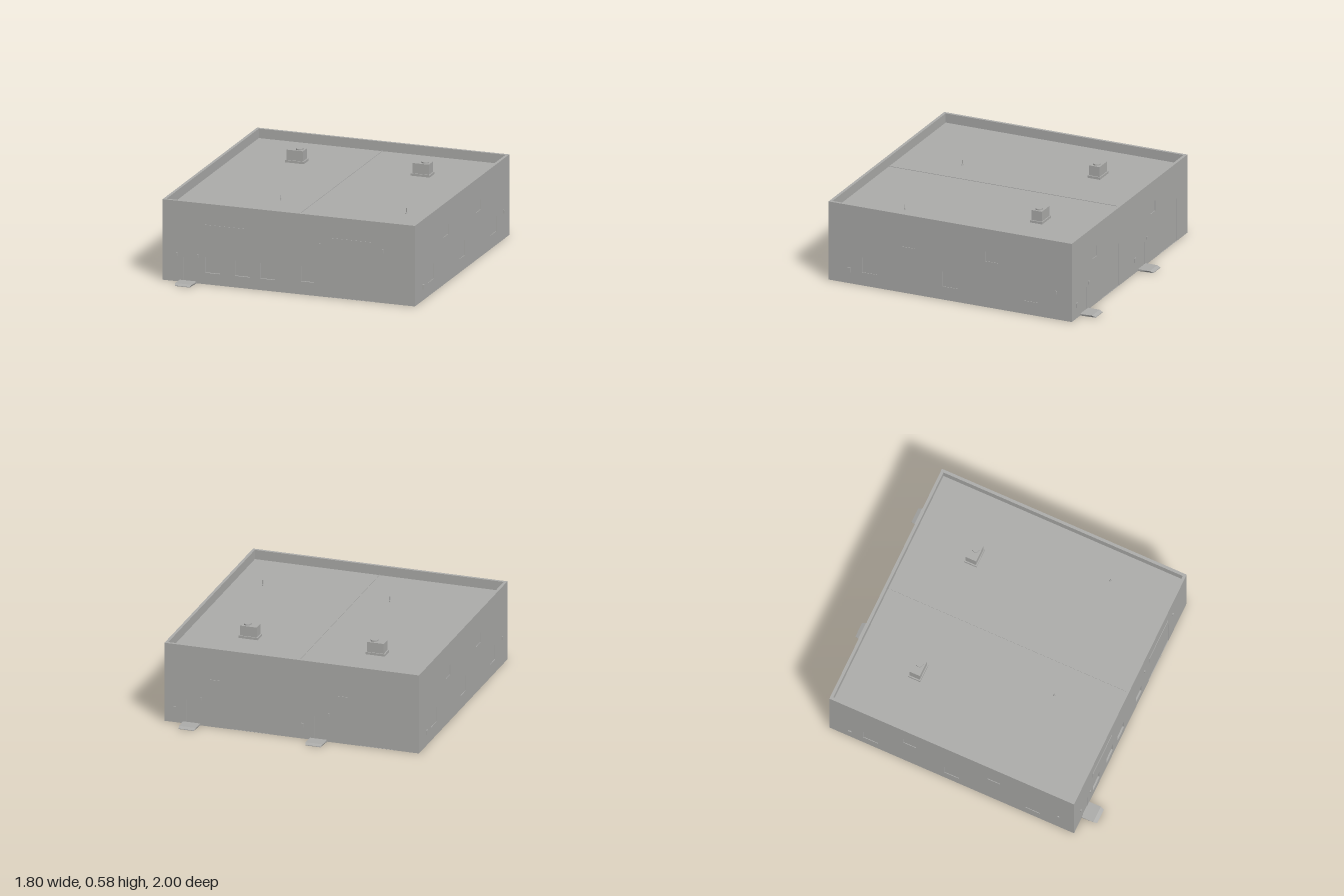
import * as THREE from 'three';

const HALF = 0.89, HEIGHT = 0.555, ROOF = 0.49, WALL = 0.012;
const grey = new THREE.MeshStandardMaterial({ color: 0xacacaa, side: THREE.DoubleSide });
grey.name = 'concrete grey';

function add(parent, name, geometry, x = 0, y = 0, z = 0) {
  const mesh = new THREE.Mesh(geometry, grey);
  mesh.name = name;
  mesh.position.set(x, y, z);
  parent.add(mesh);
  return mesh;
}

// Box given by its centre and size
const box = (parent, name, [x, y, z], [w, h, d]) =>
  add(parent, name, new THREE.BoxGeometry(w, h, d), x, y, z);

function rectPath(Type, x0, y0, x1, y1) {
  return new Type([[x0, y0], [x1, y0], [x1, y1], [x0, y1]].map(p => new THREE.Vector2(...p)));
}

// One outer wall with recessed openings [name, u0, y0, u1, y1, depth] and fittings [name, u, y, w, h]
function makeWall(name, angle, openings, fittings) {
  const wall = new THREE.Group();
  wall.name = name;
  wall.rotation.y = angle;
  const shape = rectPath(THREE.Shape, -HALF, 0, HALF, HEIGHT);
  for (const [part, u0, y0, u1, y1, depth = 0.004] of openings) {
    shape.holes.push(rectPath(THREE.Path, u0, y0, u1, y1));
    const thick = WALL + 0.004 - depth;
    box(wall, part, [(u0 + u1) / 2, (y0 + y1) / 2, HALF - depth - thick / 2], [u1 - u0, y1 - y0, thick]);
  }
  add(wall, 'wallSurface', new THREE.ExtrudeGeometry(shape, { depth: WALL, bevelEnabled: false }), 0, 0, HALF - WALL);
  for (const [part, u, y, w, h, d = 0.008] of fittings) {
    box(wall, part, [u, y, HALF + d / 2], [w, h, d]);
  }
  return wall;
}

const lamp = (u, y) => ['wallLamp', u, y, 0.011, 0.022];
const meter = u => ['meterBox', u, 0.095, 0.02, 0.032];
const door = (u0, u1, h) => ['door', u0, 0.001, u1, h];
const windowAt = (u, y, w, h, depth) => ['window', u - w / 2, y - h / 2, u + w / 2, y + h / 2, depth];

// Entrance ramp: a flat landing, then a slope narrowing toward its outer end
function makeRamp(parent, x, side) {
  const profile = new THREE.Shape([[0, 0], [0.11, 0], [0.11, 0.004], [0.085, 0.013], [0, 0.013]]
    .map(p => new THREE.Vector2(...p)));
  const geo = new THREE.ExtrudeGeometry(profile, { depth: 0.12, bevelEnabled: false });
  geo.translate(0, 0, -0.06);
  const pos = geo.attributes.position;
  for (let i = 0; i < pos.count; i++) {
    if (pos.getX(i) > 0.1) pos.setZ(i, pos.getZ(i) * 0.88);
  }
  geo.computeVertexNormals();
  const ramp = add(parent, 'entranceRamp', geo, x, 0, side * HALF);
  ramp.rotation.y = -side * Math.PI / 2;
}

// Rooftop air unit: curb, cabinet and fan cover
function makeRoofUnit(x, z) {
  const unit = new THREE.Group();
  unit.name = 'roofUnit';
  unit.position.set(x, ROOF, z);
  box(unit, 'unitCurb', [0, 0.008, 0], [0.134, 0.016, 0.09]);
  box(unit, 'unitCabinet', [0, 0.045, 0], [0.116, 0.082, 0.076]);
  add(unit, 'fanCover', new THREE.CylinderGeometry(0.025, 0.025, 0.009, 20), 0.02, 0.0905, 0);
  return unit;
}

export function createModel() {
  const model = new THREE.Group();
  model.name = 'commercialBuilding';

  // Front wall: shop windows, a wide entrance, a side door and two sign bands
  model.add(makeWall('frontWall', 0, [
    windowAt(-0.537, 0.133, 0.106, 0.108, 0.012),
    windowAt(-0.327, 0.133, 0.106, 0.108, 0.012),
    windowAt(-0.15, 0.133, 0.104, 0.108, 0.012),
    windowAt(0.132, 0.143, 0.092, 0.106, 0.012),
    door(0.29, 0.6, 0.32),
    door(-0.745, -0.675, 0.17),
  ], [
    lamp(-0.788, 0.187), lamp(-0.64, 0.187), lamp(0.22, 0.357), lamp(0.664, 0.357),
    ['signBand', -0.445, 0.378, 0.3, 0.065, 0.003],
    ['signBand', 0.445, 0.378, 0.3, 0.065, 0.003],
  ]));

  // Back wall: two matching units
  const backOpenings = [], backFittings = [];
  for (const x of [0.7, -0.192]) {
    const u = -x;
    backOpenings.push(door(u - 0.035, u + 0.035, 0.17), door(u + 0.27, u + 0.535, 0.3),
      windowAt(u + 0.165, 0.37, 0.074, 0.074));
    backFittings.push(lamp(u + 0.067, 0.19), meter(u - 0.118));
  }
  model.add(makeWall('backWall', Math.PI, backOpenings, backFittings));

  // Side walls are alike
  for (const [name, angle] of [['leftWall', Math.PI / 2], ['rightWall', -Math.PI / 2]]) {
    model.add(makeWall(name, angle, [
      ...[-0.59, 0, 0.59].map(u => windowAt(u, 0.146, 0.108, 0.106)),
      ...[-0.305, 0.305].map(u => windowAt(u, 0.36, 0.09, 0.07)),
    ], [meter(-0.74), lamp(0.778, 0.192)]));
  }

  // Parapet ring around the recessed roof
  const ring = rectPath(THREE.Shape, -HALF, -HALF, HALF, HALF);
  ring.holes.push(rectPath(THREE.Path, -0.87, -0.87, 0.87, 0.87));
  const parapet = new THREE.ExtrudeGeometry(ring, { depth: HEIGHT - ROOF, bevelEnabled: false });
  parapet.rotateX(-Math.PI / 2);
  add(model, 'parapet', parapet, 0, ROOF, 0);

  // Roof slab and its centre seam
  box(model, 'roof', [0, ROOF - 0.003, 0], [1.76, 0.006, 1.76]);
  box(model, 'roofSeam', [0, ROOF - 0.003, 0], [0.005, 0.012, 1.74]);

  // Rooftop units and vent pipes
  for (const x of [-0.445, 0.443]) {
    model.add(makeRoofUnit(x, -0.448));
    const px = x + 0.22;
    add(model, 'ventPipe', new THREE.CylinderGeometry(0.003, 0.003, 0.04, 10), px, ROOF + 0.02, 0.44);
    add(model, 'ventCollar', new THREE.CylinderGeometry(0.003, 0.007, 0.014, 10), px, ROOF + 0.007, 0.44);
  }

  makeRamp(model, -0.71, 1);
  makeRamp(model, 0.7, -1);
  makeRamp(model, -0.187, -1);
  return model;
}
